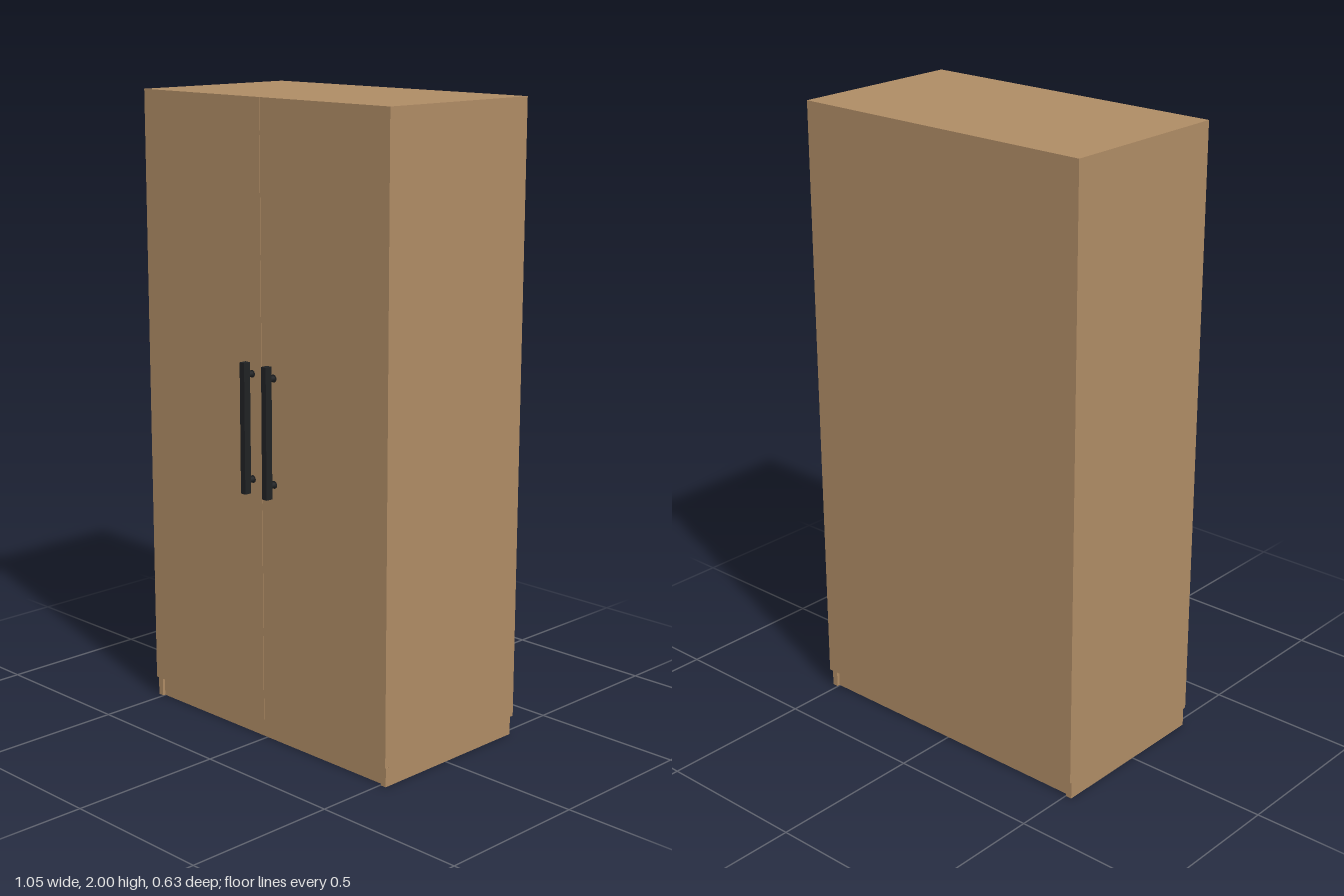
import * as THREE from 'three';

const wood = new THREE.MeshStandardMaterial({ color: 0xaf8c65 });
wood.name = 'oak wood';
const metal = new THREE.MeshStandardMaterial({ color: 0x202224 });
metal.name = 'black metal';

// Box given by its lower and upper limits on each axis
function block(parent, name, material, [x0, x1], [y0, y1], [z0, z1]) {
  const mesh = new THREE.Mesh(new THREE.BoxGeometry(x1 - x0, y1 - y0, z1 - z0), material);
  mesh.position.set((x0 + x1) / 2, (y0 + y1) / 2, (z0 + z1) / 2);
  mesh.name = name;
  parent.add(mesh);
  return mesh;
}

function createHandle(x) {
  const handle = new THREE.Group();
  handle.name = 'handle';
  block(handle, 'handleBar', metal, [-0.01, 0.01], [0.80, 1.21], [0.29, 0.314]);
  // Standoffs with a small flange against the door
  for (const y of [0.84, 1.17]) {
    for (const [name, radius, z0, z1] of [['standoff', 0.009, 0.268, 0.292], ['flange', 0.012, 0.268, 0.274]]) {
      const post = new THREE.Mesh(new THREE.CylinderGeometry(radius, radius, z1 - z0, 16), metal);
      post.rotation.x = Math.PI / 2;
      post.position.set(0, y, (z0 + z1) / 2);
      post.name = name;
      handle.add(post);
    }
  }
  handle.position.x = x;
  return handle;
}

export function createModel() {
  const cabinet = new THREE.Group();
  cabinet.name = 'wardrobe';
  const W = 0.525, front = 0.272, back = -0.314, base = 0.06;

  // Carcass, closed by its bottom panel above the plinth
  block(cabinet, 'carcass', wood, [-W, W], [base, 2], [back, front - 0.015]);

  // Pair of doors with a hairline gap
  for (const s of [-1, 1]) {
    const xs = s < 0 ? [-W, -0.001] : [0.001, W];
    block(cabinet, s < 0 ? 'rightDoor' : 'leftDoor', wood, xs, [base + 0.003, 2], [front - 0.015, front]);
  }

  // Hollow plinth: side feet and slightly recessed front and back rails
  for (const s of [-1, 1]) {
    const xs = s < 0 ? [-W + 0.003, -W + 0.023] : [W - 0.023, W - 0.003];
    block(cabinet, 'plinthSide', wood, xs, [0, base], [back + 0.01, front - 0.006]);
  }
  block(cabinet, 'plinthFront', wood, [-W + 0.023, W - 0.023], [0, base], [front - 0.035, front - 0.015]);
  block(cabinet, 'plinthBack', wood, [-W + 0.023, W - 0.023], [0, base], [back + 0.02, back + 0.04]);

  // Door handles
  for (const x of [-0.041, 0.054]) cabinet.add(createHandle(x));
  return cabinet;
}
